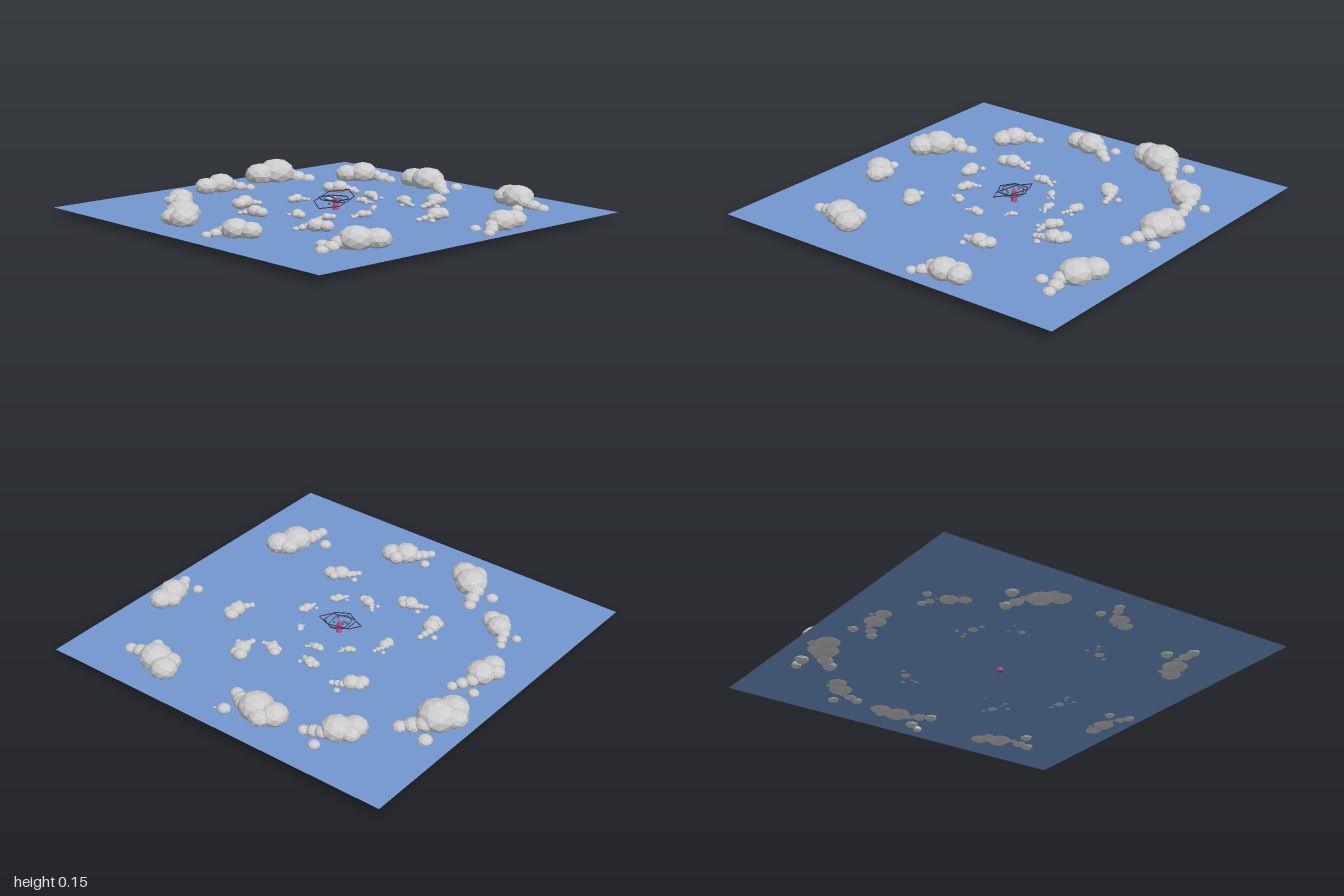
import * as THREE from 'three';

const paint = (color, opts = {}) => new THREE.MeshStandardMaterial({ color, flatShading: true, ...opts });

// One cloud in units of its main puff: [along, across, up, radius]
const PUFFS = [
  [0, 0, 0, 1],
  [-1.2, 0, -0.05, 0.82],
  [-0.75, 0.62, -0.05, 0.62],
  [0.9, 0, -0.15, 0.5],
  [1.4, -0.4, -0.3, 0.46],
  [2.0, -0.75, -0.4, 0.38],
  [1.65, 0.75, -0.4, 0.38],
];
const SUNKEN_PUFF = [2.2, 0.9, -0.6, 0.25];

// x, z, radius, heading in degrees, side of the tail, stretch
const OUTER = [
  [0.33, -0.83, 0.1, 15, -1, 0.8],
  [-0.09, -0.79, 0.075, 5, -1, 1],
  [-0.48, -0.63, 0.065, -60, -1, 0.95],
  [-0.73, -0.29, 0.088, -55, -1, 0.9],
  [-0.76, 0.15, 0.07, -120, 1, 0.9],
  [-0.51, 0.7, 0.085, -150, 1, 1],
  [0.285, 0.87, 0.075, 180, 1, 1],
  [0.78, 0.53, 0.085, 115, 1, 1],
  [0.79, -0.12, 0.09, 88, -1, 0.95],
  [0.69, -0.52, 0.08, 40, -1, 0.9],
];
const INNER = [
  [-0.28, -0.36, 0.045, -20, -1, 0.95],
  [-0.01, -0.27, 0.03, -5, -1, 1],
  [0.35, -0.34, 0.045, 45, -1, 1],
  [0.13, -0.15, 0.02, 60, 1, 1],
  [0.33, -0.07, 0.03, 95, -1, 0.95],
  [0.21, -0.01, 0.023, 90, 1, 1],
  [0.35, 0.15, 0.034, 125, 1, 1],
  [0.45, 0.26, 0.045, 150, -1, 1],
  [0.2, 0.51, 0.045, 170, -1, 1],
  [0.12, 0.16, 0.016, 150, 1, 1],
  [-0.04, 0.245, 0.026, -160, 1, 1],
  [-0.21, 0.175, 0.024, -140, 1, 1],
  [-0.4, 0.31, 0.045, -120, 1, 1],
  [-0.27, 0.03, 0.03, -75, -1, 1],
  [-0.39, -0.15, 0.04, -95, 1, 0.9],
];

const puffGeometry = new THREE.IcosahedronGeometry(1, 1);
const cloudMaterial = paint(0xcccccc);

function makeCloud([x, z, r, heading, side, stretch], name) {
  const cloud = new THREE.Group();
  cloud.name = name;
  const puffs = r >= 0.09 ? [...PUFFS, SUNKEN_PUFF] : PUFFS;
  puffs.forEach(([along, across, up, size], i) => {
    const puff = new THREE.Mesh(puffGeometry, cloudMaterial);
    puff.name = 'puff';
    puff.position.set(along * stretch, up, across * side);
    puff.scale.set(size, size * 0.75, size);
    puff.rotation.y = i * 1.3;
    cloud.add(puff);
  });
  cloud.position.set(x, 0.062 + 0.28 * r, z);
  cloud.rotation.y = -THREE.MathUtils.degToRad(heading);
  cloud.scale.setScalar(r);
  return cloud;
}

// Thin six-sided hoop, tilted about z and x
function makeHoop(radius, y, tiltZ, tiltX, color) {
  const geo = new THREE.TorusGeometry(radius, 0.0028, 4, 6).rotateX(Math.PI / 2);
  const hoop = new THREE.Mesh(geo, paint(color));
  hoop.name = 'hexagonHoop';
  hoop.position.y = y;
  hoop.rotation.set(tiltX, 0, tiltZ);
  return hoop;
}

export function createModel() {
  const model = new THREE.Group();
  model.name = 'cloudSea';

  // Flat sheet of water cutting through the clouds
  const water = new THREE.Mesh(
    new THREE.PlaneGeometry(2, 2).rotateX(-Math.PI / 2),
    paint(0x7297d0, { side: THREE.DoubleSide }),
  );
  water.name = 'water';
  water.position.y = 0.048;
  model.add(water);

  // Two belts of clouds
  OUTER.forEach((c) => model.add(makeCloud(c, 'outerCloud')));
  INNER.forEach((c) => model.add(makeCloud(c, 'innerCloud')));

  // Centrepiece: hoops around a small core
  const centre = new THREE.Group();
  centre.name = 'centrepiece';
  centre.add(
    makeHoop(0.108, 0.104, 0.34, 0, 0x5a3048),
    makeHoop(0.08, 0.108, 0, 0, 0x2c3550),
    makeHoop(0.06, 0.1, -0.15, 0.15, 0x2a5560),
  );
  const core = new THREE.Mesh(new THREE.CylinderGeometry(0.012, 0.018, 0.075, 6), paint(0xc8508c));
  core.name = 'core';
  core.position.set(0.01, 0.07, 0);
  centre.add(core);
  for (let i = 0; i < 6; i++) {
    const a = (i * Math.PI) / 3;
    const shard = new THREE.Mesh(
      new THREE.OctahedronGeometry(0.009),
      paint(i % 2 ? 0x3c8088 : 0xa04878),
    );
    shard.name = 'shard';
    shard.position.set(0.032 * Math.cos(a), 0.085 + 0.012 * (i % 3), 0.032 * Math.sin(a));
    centre.add(shard);
  }
  model.add(centre);
  return model;
}
